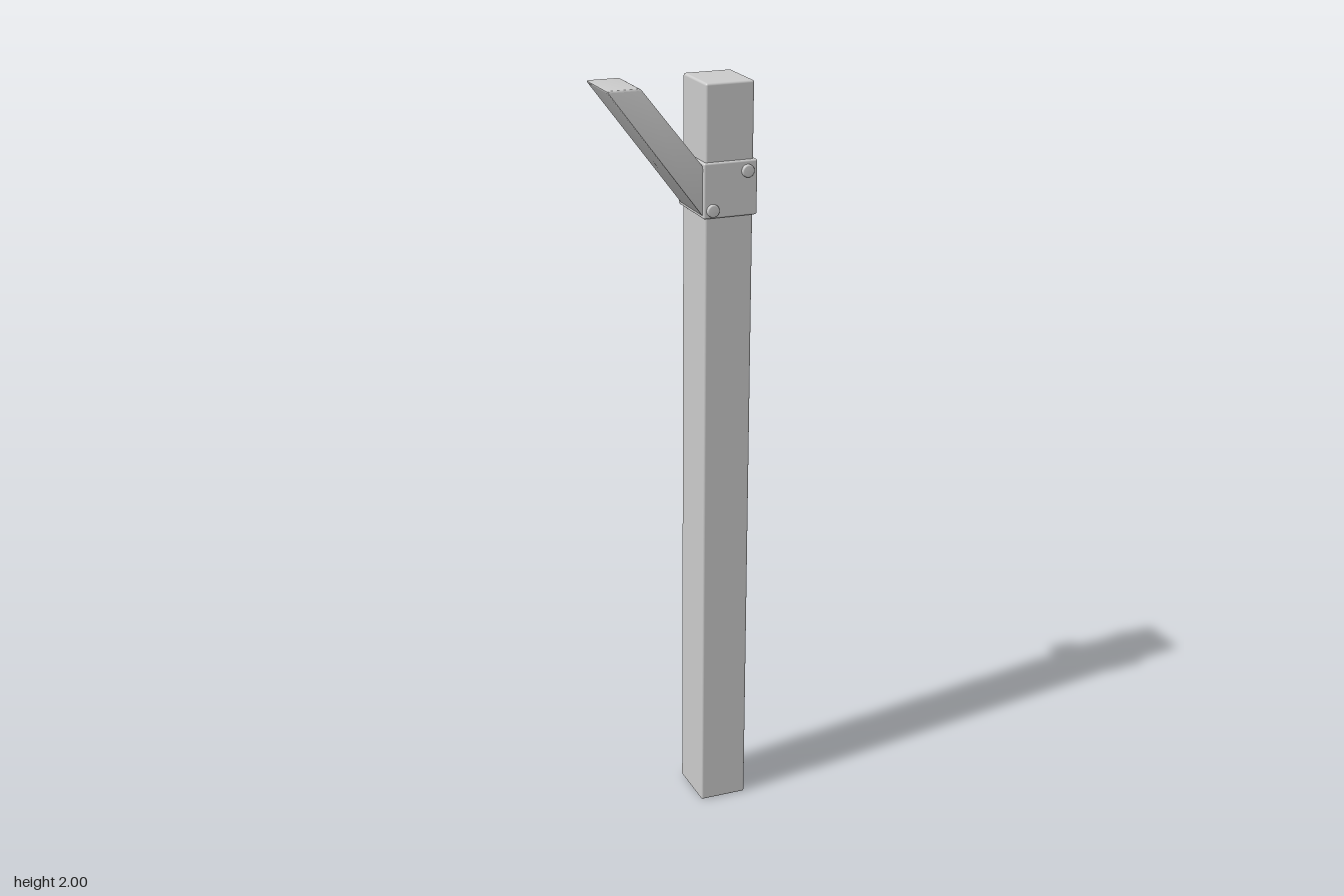
import * as THREE from 'three';
import { toCreasedNormals } from 'three/addons/utils/BufferGeometryUtils.js';
import { RoundedBoxGeometry } from 'three/addons/geometries/RoundedBoxGeometry.js';

const grey = new THREE.MeshStandardMaterial({ color: 0xcccccc });

function addPart(group, name, geometry, x = 0, y = 0, z = 0) {
  const mesh = new THREE.Mesh(geometry, grey);
  mesh.name = name;
  mesh.position.set(x, y, z);
  group.add(mesh);
  return mesh;
}

// Soft-edged box given by its extents
function addBox(group, name, [x0, x1], [y0, y1], [z0, z1], radius) {
  const geometry = new RoundedBoxGeometry(x1 - x0, y1 - y0, z1 - z0, 3, radius);
  return addPart(group, name, geometry, (x0 + x1) / 2, (y0 + y1) / 2, (z0 + z1) / 2);
}

// Polygon whose corners are rounded over a distance r
function roundedPolygon(points, r) {
  const shape = new THREE.Shape();
  const p = points.map(([x, y]) => new THREE.Vector2(x, y));
  const toward = (a, b) => a.clone().add(b.clone().sub(a).setLength(r));
  p.forEach((corner, i) => {
    const start = toward(corner, p[(i + p.length - 1) % p.length]);
    const end = toward(corner, p[(i + 1) % p.length]);
    if (i === 0) shape.moveTo(start.x, start.y);
    else shape.lineTo(start.x, start.y);
    shape.quadraticCurveTo(corner.x, corner.y, end.x, end.y);
  });
  shape.closePath();
  return shape;
}

export function createModel() {
  const model = new THREE.Group();
  model.name = 'bracedPost';

  // Upright post and the collar around it
  addBox(model, 'post', [0.058, 0.187], [0, 2], [-0.078, 0.072], 0.006);
  addBox(model, 'collar', [0.051, 0.195], [1.664, 1.805], [-0.09, 0.08], 0.005);

  // Slanted brace, cut level at the top and upright where it meets the post
  const bevel = 0.005;
  const outline = [[-0.199, 2], [0.062, 1.658], [0.062, 1.784], [-0.11, 2]];
  const brace = new THREE.ExtrudeGeometry(roundedPolygon(outline, 0.007), {
    depth: 0.15 - 2 * bevel,
    bevelThickness: bevel,
    bevelSize: bevel,
    bevelOffset: -bevel,
    bevelSegments: 3,
    curveSegments: 4,
  });
  addPart(model, 'brace', toCreasedNormals(brace, 0.6), 0, 0, -0.078 + bevel);

  // Two round bolt heads on the front of the collar
  const profile = [[0.0165, -0.004], [0.0165, 0.005], [0.0152, 0.0075], [0.0125, 0.0085], [0, 0.0085]];
  const head = new THREE.LatheGeometry(profile.map(([x, y]) => new THREE.Vector2(x, y)), 24);
  head.rotateX(Math.PI / 2);
  for (const [x, y] of [[0.168, 1.778], [0.075, 1.685]]) {
    addPart(model, 'boltHead', head, x, y, 0.08);
  }

  return model;
}
